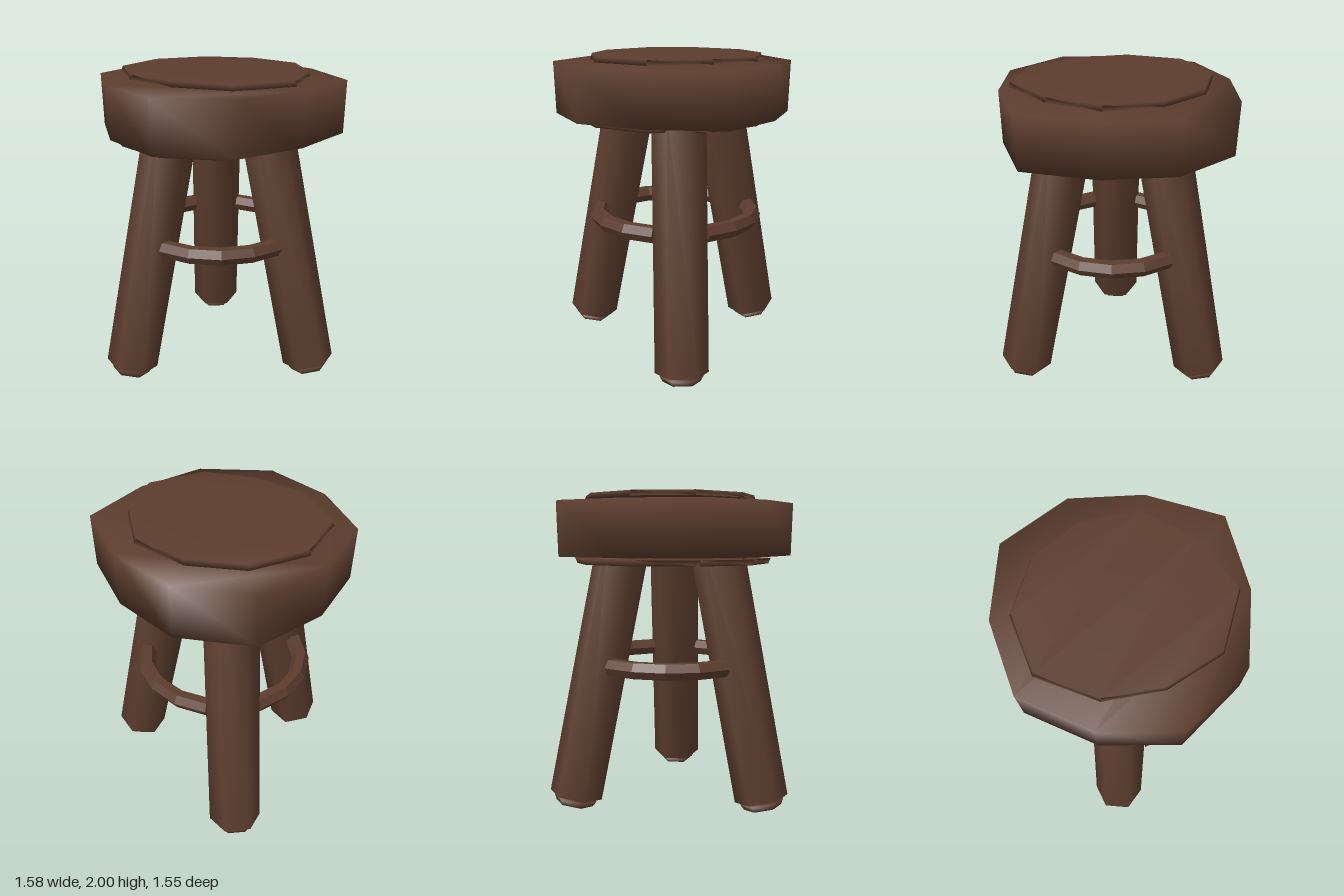
import * as THREE from 'three';
import { mergeGeometries } from 'three/addons/utils/BufferGeometryUtils.js';

const CX = -0.03, CZ = -0.02; // centre shared by legs and rungs

// Regular outline, clockwise seen from above, first corner towards -z
function ring(n, rx, rz = rx, cx = 0, cz = 0) {
  return Array.from({ length: n }, (_, i) => {
    const a = (i / n) * Math.PI * 2;
    return [cx + rx * Math.sin(a), cz - rz * Math.cos(a)];
  });
}

// Closed solid between two outlines, sharing corners so the shading is soft
function prism(bottom, top, y0, y1) {
  const n = top.length, pos = [], idx = [];
  top.forEach(([x, z]) => pos.push(x, y1, z));
  bottom.forEach(([x, z]) => pos.push(x, y0, z));
  for (let i = 0; i < n; i++) {
    const j = (i + 1) % n;
    idx.push(n + i, i, j, n + i, j, n + j);
  }
  for (let a = 0; a < n / 2 - 1; a++) {
    const b = a + 1, c = n - 1 - a, d = n - 2 - a;
    idx.push(a, c, d, a, d, b);
    idx.push(n + a, n + d, n + c, n + a, n + b, n + d);
  }
  const g = new THREE.BufferGeometry();
  g.setAttribute('position', new THREE.Float32BufferAttribute(pos, 3));
  g.setIndex(idx);
  g.computeVertexNormals();
  return g;
}

const scaled = (pts, s) => pts.map(([x, z]) => [x * s, z * s]);

// Curved six-sided bar with closed ends, lying in the xz plane
function rungGeometry(radius, tube, start, arc) {
  const bar = new THREE.TorusGeometry(radius, tube, 6, 4, arc);
  const capA = new THREE.CircleGeometry(tube, 6).rotateX(Math.PI / 2).translate(radius, 0, 0);
  const capB = new THREE.CircleGeometry(tube, 6).rotateX(-Math.PI / 2).translate(radius, 0, 0).rotateZ(arc);
  const g = mergeGeometries([bar, capA, capB]).toNonIndexed();
  g.rotateZ(start).rotateX(Math.PI / 2);
  g.computeVertexNormals();
  return g;
}

export function createModel() {
  const model = new THREE.Group();
  model.name = 'stool';
  const wood = new THREE.MeshStandardMaterial({ color: 0x5c3d2e });
  wood.name = 'dark brown wood';

  const add = (parent, name, geometry) => {
    const mesh = new THREE.Mesh(geometry, wood);
    mesh.name = name;
    parent.add(mesh);
    return mesh;
  };

  // Seat: uneven hand-cut slab
  const slab = [[-0.04, -0.78], [0.38, -0.61], [0.74, -0.28], [0.65, 0.2], [0.42, 0.6],
    [-0.04, 0.77], [-0.47, 0.57], [-0.78, 0.21], [-0.74, -0.25], [-0.51, -0.67]];
  add(model, 'seatSlab', prism(scaled(slab, 0.99), slab, 1.615, 1.95));

  // Thin discs floating just above and below the slab
  const disc = [[-0.04, -0.59], [0.31, -0.5], [0.52, -0.21], [0.59, 0.18], [0.33, 0.48],
    [-0.04, 0.53], [-0.38, 0.44], [-0.65, 0.16], [-0.63, -0.22], [-0.38, -0.5]];
  add(model, 'seatTopDisc', prism(disc, scaled(disc, 0.98), 1.968, 2.0));
  add(model, 'seatUnderDisc', prism(
    ring(10, 0.59, 0.625, -0.085, -0.01), ring(10, 0.605, 0.64, -0.085, -0.01), 1.565, 1.6));

  // Three splayed legs, each with a small foot pad
  const up = new THREE.Vector3(0, 1, 0);
  ['leftLeg', 'frontLeg', 'backLeg'].forEach((name, i) => {
    const a = (i * Math.PI * 2) / 3, c = Math.cos(a), s = Math.sin(a);
    const leg = new THREE.Group();
    leg.name = name;
    leg.position.set(CX + 0.69 * c, 0.08, CZ + 0.69 * s);
    leg.quaternion.setFromUnitVectors(up, new THREE.Vector3(-0.217 * c, 1, -0.217 * s).normalize());
    add(leg, 'legPost', prism(ring(6, 0.17), ring(6, 0.17), 0, 1.65));
    add(leg, 'footPad', prism(ring(6, 0.12), ring(6, 0.14), -0.056, -0.02));
    model.add(leg);
  });

  // Three curved rungs between the legs
  const half = THREE.MathUtils.degToRad(42);
  ['frontRung', 'rightRung', 'backRung'].forEach((name, i) => {
    const mid = Math.PI / 3 + (i * Math.PI * 2) / 3;
    add(model, name, rungGeometry(0.522, 0.057, mid - half, half * 2)).position.set(CX, 0.93, CZ);
  });

  return model;
}
